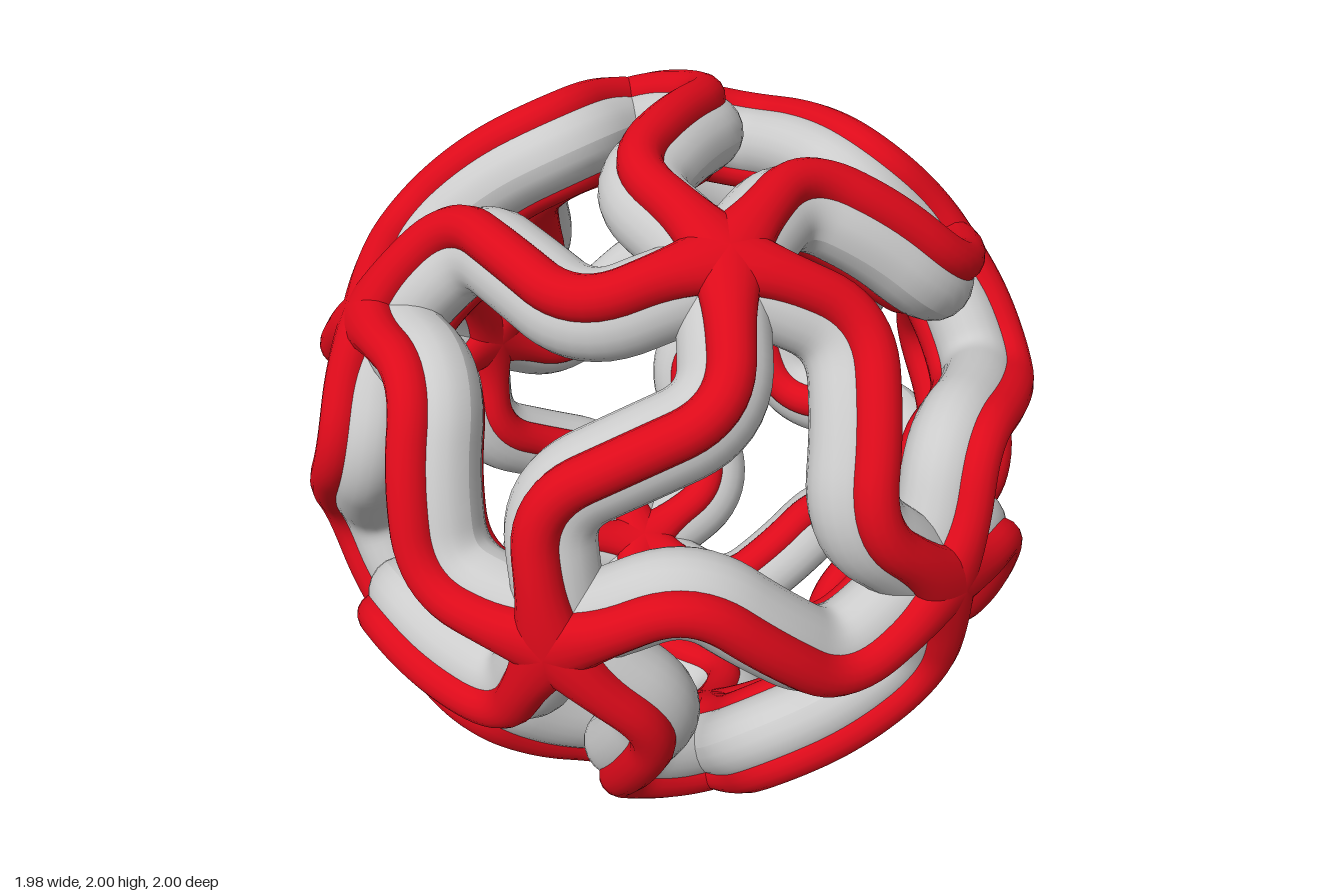
import * as THREE from 'three';
import { mergeGeometries } from 'three/addons/utils/BufferGeometryUtils.js';

const RAD = Math.PI / 180;
const STEPS = 46;

// The twelve star centres: icosahedron corners, one of them facing +z
function starCentres() {
  const list = [new THREE.Vector3(0, 0, 1)];
  for (let k = 0; k < 5; k++) {
    const a = k * 72 * RAD, r = 2 / Math.sqrt(5);
    list.push(new THREE.Vector3(r * Math.cos(a), r * Math.sin(a), 1 / Math.sqrt(5)));
  }
  return [...list, ...list.map(v => v.clone().negate())];
}

// S-shaped path between two stars as (longitude, latitude) in degrees, with rounded bends
function bentPath() {
  const span = Math.atan(2) / RAD;
  const p = [[0, 0], [20, 10.2], [span - 20, -10.2], [span, 0]].map(q => new THREE.Vector2(...q));
  const mix = (a, b, t) => a.clone().lerp(b, t);
  const path = new THREE.CurvePath();
  const a1 = mix(p[1], p[0], 0.36), a2 = mix(p[1], p[2], 0.27);
  const b1 = mix(p[2], p[1], 0.27), b2 = mix(p[2], p[3], 0.36);
  path.add(new THREE.LineCurve(p[0], a1));
  path.add(new THREE.QuadraticBezierCurve(a1, p[1], a2));
  path.add(new THREE.LineCurve(a2, b1));
  path.add(new THREE.QuadraticBezierCurve(b1, p[2], b2));
  path.add(new THREE.LineCurve(b2, p[3]));
  return path.getSpacedPoints(STEPS);
}

// Elliptical cross-section as (sideways offset, radius from the ball's centre)
function arc(from, to, radius, halfWidth, halfDepth, n) {
  return Array.from({ length: n + 1 }, (_, i) => {
    const t = (from + (to - from) * i / n) * RAD;
    return [halfWidth * Math.cos(t), radius + halfDepth * Math.sin(t)];
  });
}

// Sweep a section along the path from star a to star b, widening by flare at both ends
function sweep(a, b, path, section, flare) {
  const e = b.clone().addScaledVector(a, -a.dot(b)).normalize();
  const n = a.clone().cross(e);
  const dirs = path.map(({ x, y }) => {
    const lon = x * RAD, lat = y * RAD;
    return new THREE.Vector3()
      .addScaledVector(a, Math.cos(lat) * Math.cos(lon))
      .addScaledVector(e, Math.cos(lat) * Math.sin(lon))
      .addScaledVector(n, Math.sin(lat));
  });
  const pos = [], index = [], m = section.length;
  dirs.forEach((u, i) => {
    const t = dirs[Math.min(i + 1, STEPS)].clone().sub(dirs[Math.max(i - 1, 0)]);
    const side = t.cross(u).normalize();
    const d = Math.min(u.distanceTo(a), u.distanceTo(b));
    const widen = 1 + flare * Math.exp(-((d / 0.12) ** 2));
    section.forEach(([w, r], j) => {
      const v = u.clone().multiplyScalar(r).addScaledVector(side, w * widen);
      pos.push(v.x, v.y, v.z);
      if (i < STEPS && j < m - 1) {
        const q = i * m + j;
        index.push(q, q + m, q + 1, q + 1, q + m, q + m + 1);
      }
    });
  });
  const g = new THREE.BufferGeometry();
  g.setAttribute('position', new THREE.Float32BufferAttribute(pos, 3));
  g.setIndex(index);
  g.computeVertexNormals();
  return g;
}

export function createModel() {
  const group = new THREE.Group();
  group.name = 'starLatticeBall';
  const red = new THREE.MeshStandardMaterial({ color: 0xdd0a1a, side: THREE.DoubleSide });
  const grey = new THREE.MeshStandardMaterial({ color: 0xcccccc, side: THREE.DoubleSide });

  // Neighbouring stars are joined by one strut each
  const stars = starCentres(), edges = [];
  stars.forEach((a, i) => stars.slice(i + 1).forEach(b => {
    if (a.dot(b) > 0.4) edges.push([a, b]);
  }));

  // Each strut: a wide grey tube with a narrow red rail outside and inside
  const path = bentPath();
  const parts = [
    ['outerRails', red, arc(-25, 205, 0.943, 0.057, 0.057, 10), 0.5],
    ['strutBodies', grey, arc(0, 360, 0.855, 0.112, 0.1, 22), 0],
    ['innerRails', red, arc(155, 385, 0.772, 0.05, 0.045, 10), 0.5],
  ];
  for (const [name, material, section, flare] of parts) {
    const pieces = edges.map(([a, b]) => sweep(a, b, path, section, flare));
    const mesh = new THREE.Mesh(mergeGeometries(pieces), material);
    mesh.name = name;
    mesh.position.y = 1;
    group.add(mesh);
  }
  return group;
}
